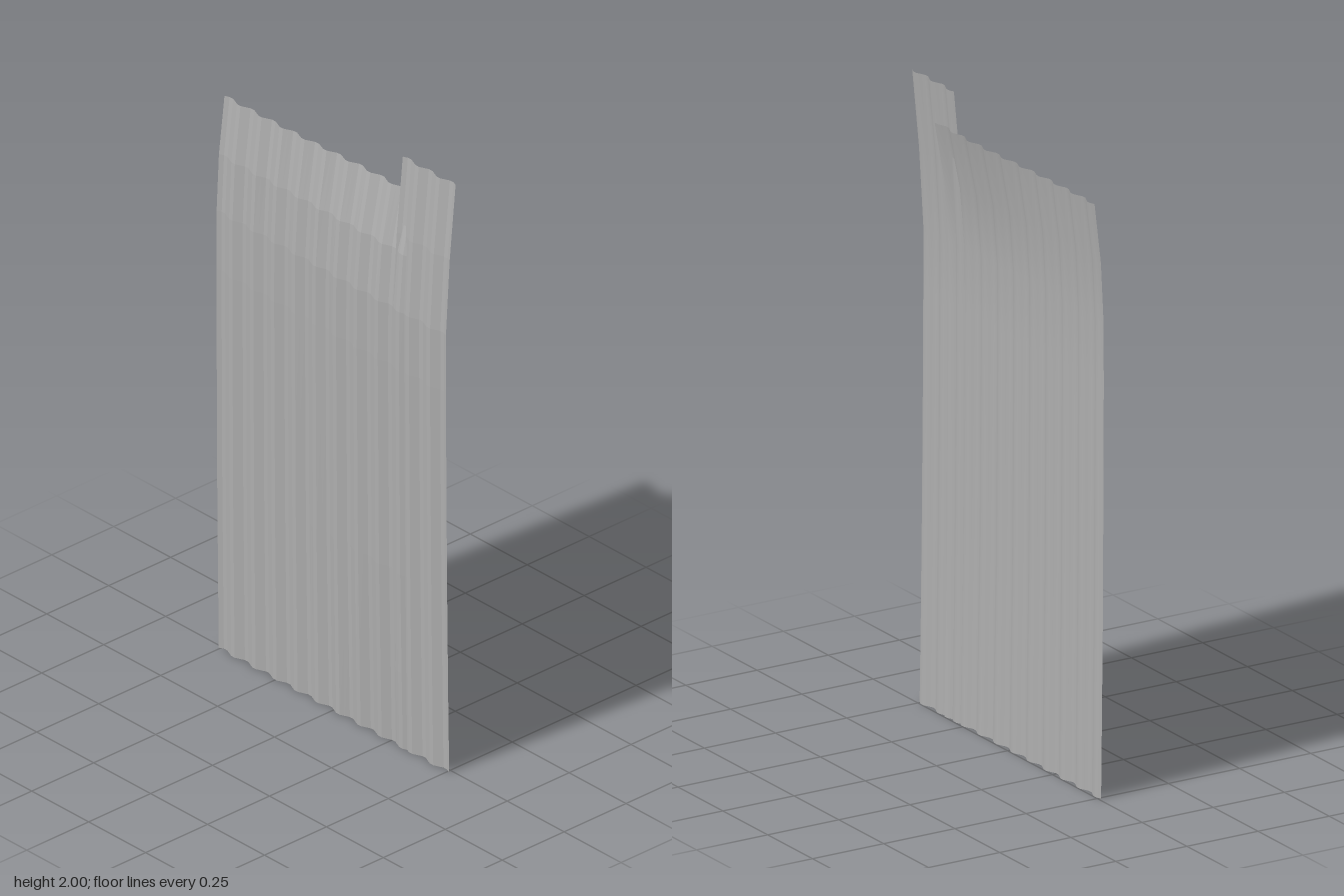
import * as THREE from 'three';

const PERIOD = 0.0924;   // one corrugation wave
const STEP = PERIOD / 6; // six flat strips per wave
const DEPTH = 0.0075;    // wave amplitude

// Grid surface of a bowed corrugated sheet; rows are [height, bow]
function sheetSurface({ start, strips, rows, sway }, offset, faceBack) {
  const pos = [], idx = [], w = strips + 1;
  for (const [y, bow] of rows) {
    for (let i = 0; i < w; i++) {
      const x = start + i * STEP;
      const wave = DEPTH * Math.cos((2 * Math.PI * (i - 1.5)) / 6);
      pos.push(x, y, 0.008 + bow * sway(x) - wave + offset);
    }
  }
  for (let j = 0; j < rows.length - 1; j++) {
    for (let i = 0; i < strips; i++) {
      const a = j * w + i, b = a + 1, c = a + w, d = c + 1;
      if (faceBack) idx.push(a, d, b, a, c, d);
      else idx.push(a, b, d, a, d, c);
    }
  }
  const g = new THREE.BufferGeometry();
  g.setAttribute('position', new THREE.Float32BufferAttribute(pos, 3));
  g.setIndex(idx);
  // Faceted front, smooth back
  const out = faceBack ? g : g.toNonIndexed();
  out.computeVertexNormals();
  return out;
}

export function createModel() {
  const model = new THREE.Group();
  model.name = 'corrugatedSheets';
  const metal = new THREE.MeshStandardMaterial({ color: 0xb0b0b0, side: THREE.DoubleSide });
  metal.name = 'galvanised grey';

  const sheets = {
    // Wide sheet, bent back most strongly right of its middle
    wideSheet: {
      start: -0.506, strips: 56,
      rows: [[0, 0.002], [0.26, 0.006], [0.6, 0.011], [0.95, 0.013], [1.3, 0.015],
        [1.5, 0.014], [1.69, 0.001], [1.88, -0.03]],
      sway: (x) => 0.72 + 0.52 * Math.exp(-(((x - 0.18) / 0.3) ** 2)),
    },
    // Narrow taller sheet overlapping half a wave out of step
    tallSheet: {
      start: 0.2745, strips: 15,
      rows: [[0, 0.002], [0.26, 0.006], [0.6, 0.01], [0.95, 0.013], [1.3, 0.015],
        [1.5, 0.015], [1.75, 0], [2, -0.024]],
      sway: () => 1,
    },
  };

  for (const [name, spec] of Object.entries(sheets)) {
    const sheet = new THREE.Group();
    sheet.name = name;
    const front = new THREE.Mesh(sheetSurface(spec, 0.0005, false), metal);
    front.name = name + 'Front';
    const back = new THREE.Mesh(sheetSurface(spec, -0.0005, true), metal);
    back.name = name + 'Back';
    sheet.add(front, back);
    model.add(sheet);
  }
  return model;
}
